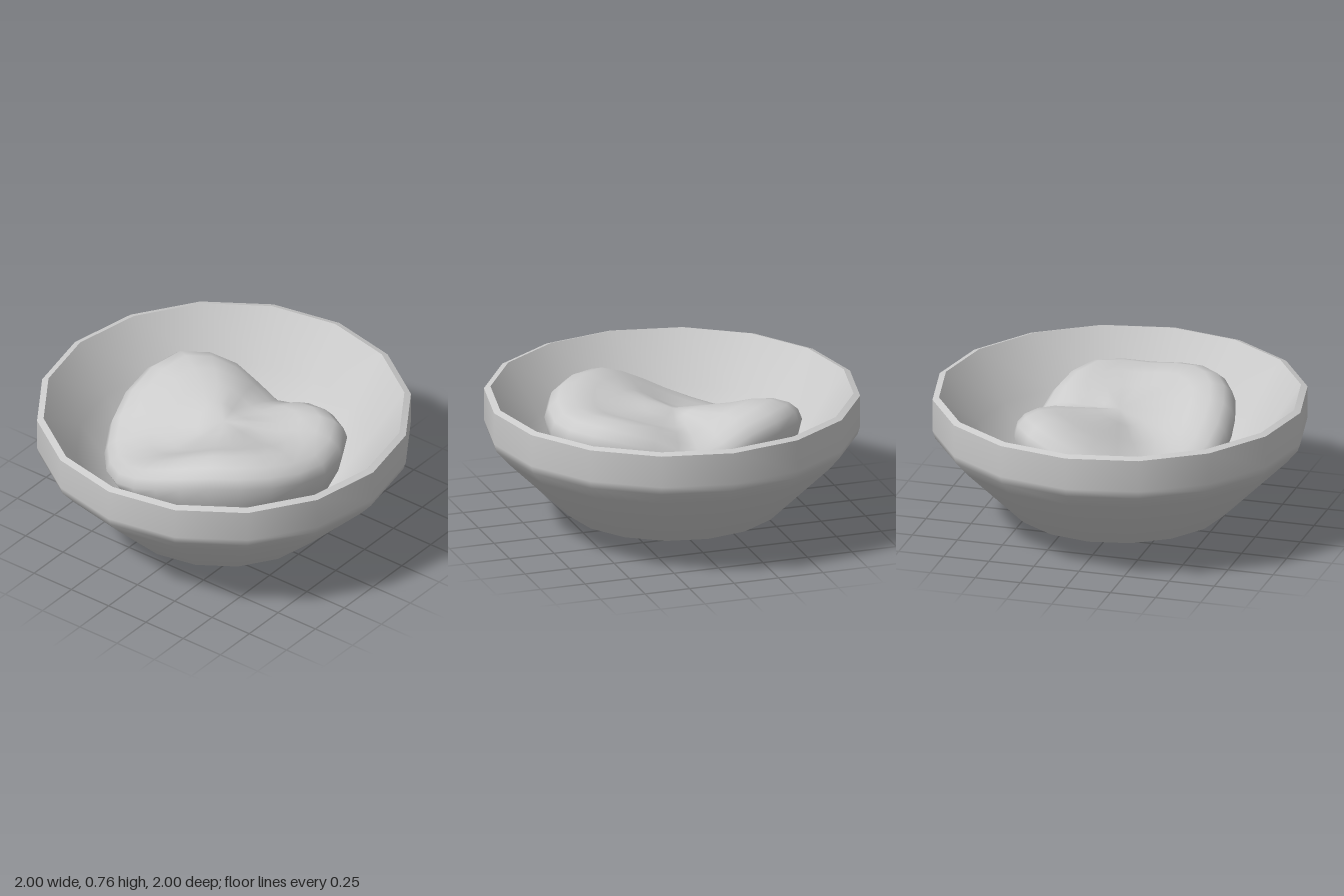
import * as THREE from 'three';

const grey = () => new THREE.MeshStandardMaterial({ color: 0xcccccc });

// Smooth periodic interpolation through values spaced evenly around a circle
function around(values) {
  const n = values.length;
  return (t) => {
    const i = Math.floor(t * n), f = t * n - i;
    const [a, b, c, d] = [-1, 0, 1, 2].map((k) => values[(i + k + n) % n]);
    return b + 0.5 * f * (c - a + f * (2 * a - 5 * b + 4 * c - d + f * (3 * (b - c) + d - a)));
  };
}

// Sixteen-sided bowl: each band is smooth, with sharp edges between bands
function makeBowl() {
  const bands = {
    base: [[0, 0], [0.285, 0]],
    outerWall: [[0.285, 0], [0.58, 0.105], [0.92, 0.44], [0.985, 0.515], [1, 0.56], [1, 0.735]],
    rim: [[1, 0.735], [0.965, 0.747]],
    innerWall: [[0.965, 0.747], [0.79, 0.485], [0.59, 0.21], [0.3, 0.1], [0, 0.08]],
  };
  const bowl = new THREE.Group();
  bowl.name = 'bowl';
  for (const [name, points] of Object.entries(bands)) {
    const profile = points.map(([r, y]) => new THREE.Vector2(r, y));
    const mesh = new THREE.Mesh(new THREE.LatheGeometry(profile, 16), grey());
    mesh.name = name;
    bowl.add(mesh);
  }
  return bowl;
}

// Soft lump of dough, lofted in rings from the top centre to the underside
function makeDough() {
  // Every 30 degrees, from +x towards +z
  const radius = around([0.68, 0.67, 0.63, 0.6, 0.62, 0.64, 0.68, 0.685, 0.575, 0.505, 0.54, 0.66]);
  const shoulder = around([0.71, 0.755, 0.755, 0.65, 0.53, 0.5, 0.62, 0.73, 0.69, 0.56, 0.66, 0.725]);
  const inner = around([0.66, 0.69, 0.68, 0.61, 0.55, 0.56, 0.635, 0.69, 0.68, 0.62, 0.63, 0.66]);
  const centre = 0.645, segments = 24;
  const rings = [
    [0.22, (t) => (centre + inner(t)) / 2],
    [0.45, inner],
    [0.62, (t) => (inner(t) + shoulder(t)) / 2 + 0.01],
    [0.78, shoulder],
    [0.9, (t) => shoulder(t) - 0.025],
    [0.97, (t) => shoulder(t) - 0.065],
    [1, (t) => shoulder(t) - 0.12],
    [0.97, (t) => shoulder(t) * 0.7],
    [0.87, (t) => 0.1 + shoulder(t) * 0.36],
    [0.72, () => 0.22],
    [0.4, () => 0.14],
  ];
  const position = [0, centre, 0], index = [];
  for (const [scale, height] of rings) {
    for (let s = 0; s < segments; s++) {
      const t = s / segments, a = t * Math.PI * 2, r = radius(t) * scale;
      position.push(r * Math.cos(a), height(t), r * Math.sin(a));
    }
  }
  position.push(0, 0.12, 0);
  const last = position.length / 3 - 1;
  const at = (ring, s) => 1 + ring * segments + (s % segments);
  for (let s = 0; s < segments; s++) {
    index.push(0, at(0, s + 1), at(0, s));
    for (let r = 0; r < rings.length - 1; r++) {
      const a = at(r, s), b = at(r, s + 1), c = at(r + 1, s), d = at(r + 1, s + 1);
      index.push(a, b, d, a, d, c);
    }
    index.push(last, at(rings.length - 1, s), at(rings.length - 1, s + 1));
  }
  const geometry = new THREE.BufferGeometry();
  geometry.setAttribute('position', new THREE.Float32BufferAttribute(position, 3));
  geometry.setIndex(index);
  geometry.computeVertexNormals();
  const mesh = new THREE.Mesh(geometry, grey());
  mesh.name = 'dough';
  return mesh;
}

export function createModel() {
  const group = new THREE.Group();
  group.name = 'bowlOfDough';
  group.add(makeBowl(), makeDough());
  return group;
}
